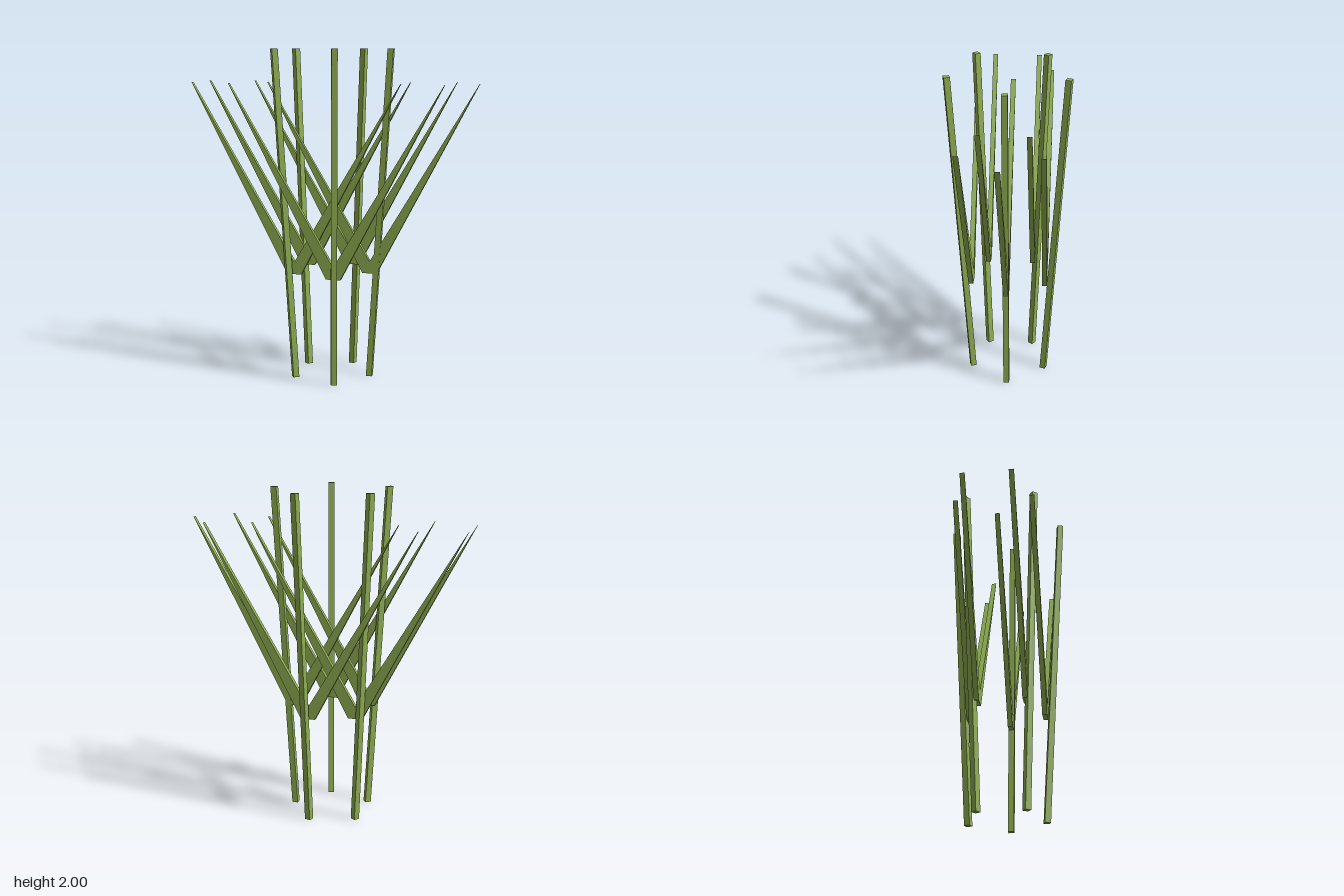
import * as THREE from 'three';

const COUNT = 5;
const CENTER_X = -0.023;          // offset that balances the clump's overall width
const BASE_R = 0.24, TOP_R = 0.36; // ring radius at the ground and at the tips
const HEIGHT = 2, STALK = 0.036;

// Square stalk leaning outward along +x, with level ends
function stalkGeometry() {
  const geo = new THREE.BoxGeometry(STALK, HEIGHT, STALK);
  geo.translate(BASE_R, HEIGHT / 2, 0);
  const p = geo.attributes.position;
  for (let i = 0; i < p.count; i++) {
    p.setX(i, p.getX(i) + (TOP_R - BASE_R) * p.getY(i) / HEIGHT);
  }
  geo.computeVertexNormals();
  return geo;
}

// Flat blade tapering from a wide foot to a sharp tip, leaning to one side
function bladeGeometry(side) {
  const half = 0.044, thick = 0.03;
  const shape = new THREE.Shape([
    new THREE.Vector2(-half, 0.65),
    new THREE.Vector2(half, 0.65),
    new THREE.Vector2(side * 0.644, 1.8),
  ]);
  const geo = new THREE.ExtrudeGeometry(shape, { depth: thick, bevelEnabled: false });
  return geo.translate(0, 0, -thick / 2);
}

export function createModel() {
  const group = new THREE.Group();
  group.name = 'reedClump';
  const green = new THREE.MeshStandardMaterial({ color: 0x8fae52 });
  green.name = 'leafGreen';

  const stalkGeo = stalkGeometry();
  const blades = { leftBlade: bladeGeometry(1), rightBlade: bladeGeometry(-1) };

  for (let i = 0; i < COUNT; i++) {
    const angle = (i / COUNT) * Math.PI * 2;
    const plant = new THREE.Group();
    plant.name = `reed${i + 1}`;

    // Stalk, turned to lean away from the middle
    const stalk = new THREE.Mesh(stalkGeo, green);
    stalk.name = 'stalk';
    stalk.position.x = CENTER_X;
    stalk.rotation.y = -angle;
    plant.add(stalk);

    // Pair of blades, all facing the front
    for (const [name, geo] of Object.entries(blades)) {
      const blade = new THREE.Mesh(geo, green);
      blade.name = name;
      blade.position.set(CENTER_X + BASE_R * Math.cos(angle), 0, BASE_R * Math.sin(angle));
      plant.add(blade);
    }
    group.add(plant);
  }
  return group;
}
